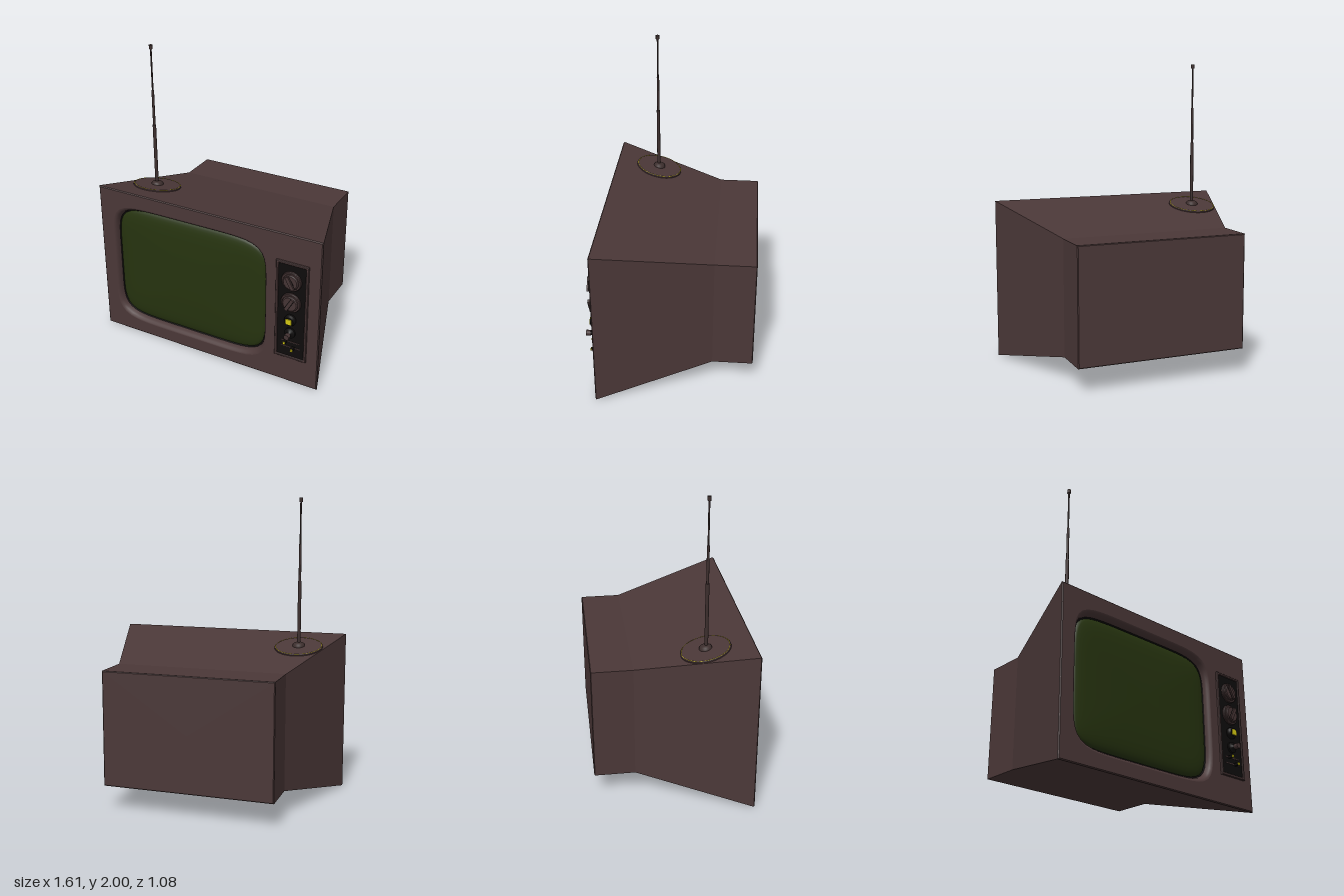
import * as THREE from 'three';

const mat = (name, color) => {
  const m = new THREE.MeshStandardMaterial({ color });
  m.name = name;
  return m;
};

// Closed loops of points, outer faces to the right of travel for anticlockwise loops
function loft(rings, flat = false) {
  const n = rings[0].length, pos = [], idx = [];
  rings.forEach(r => r.forEach(p => pos.push(...p)));
  for (let i = 0; i < rings.length - 1; i++) {
    for (let j = 0; j < n; j++) {
      const a = i * n + j, b = i * n + (j + 1) % n;
      idx.push(a, b, b + n, a, b + n, a + n);
    }
  }
  let g = new THREE.BufferGeometry();
  g.setAttribute('position', new THREE.Float32BufferAttribute(pos, 3));
  g.setIndex(idx);
  if (flat) g = g.toNonIndexed();
  g.computeVertexNormals();
  return g;
}

const CX = -0.135, CY = 0.537, FRONT = 0.467;

// Soft-cornered tube outline with slightly bowed sides
function outline(hw, hh, z, power = 6.5, count = 96) {
  return Array.from({ length: count }, (_, i) => {
    const t = (i / count) * Math.PI * 2, c = Math.cos(t), s = Math.sin(t);
    const r = 1 / Math.pow(Math.abs(c) ** power + Math.abs(s) ** power, 1 / power);
    return [CX + hw * r * c, CY + hh * r * s, z];
  });
}

const rect = (hw, y0, y1, z) => [[-hw, y0, z], [hw, y0, z], [hw, y1, z], [-hw, y1, z]];

function rectShape(x0, y0, x1, y1, Type = THREE.Shape) {
  return new Type([[x0, y0], [x1, y0], [x1, y1], [x0, y1]].map(p => new THREE.Vector2(...p)));
}

export function createModel() {
  const brown = mat('brown casing', 0x4b3838);
  const knobBrown = mat('knob brown', 0x453434);
  const metal = mat('aerial metal', 0x3c2e2d);
  const glass = mat('green glass', 0x26330f);
  const black = mat('black panel', 0x0e0c0c);
  const yellow = mat('yellow', 0xd6ca12);

  const model = new THREE.Group();
  model.name = 'television';
  const add = (name, geo, material, x = 0, y = 0, z = 0, parent = model) => {
    const m = new THREE.Mesh(geo, material);
    m.name = name;
    m.position.set(x, y, z);
    parent.add(m);
    return m;
  };

  // Casing: square back box flaring out to the front
  add('casing', loft([
    rect(0, 0.54, 0.54, -0.54),
    rect(0.56, 0.17, 0.915, -0.54),
    rect(0.565, 0.165, 0.92, -0.535),
    rect(0.565, 0.165, 0.92, -0.275),
    rect(0.805, 0, 1.08, 0.458),
    rect(0.805, 0, 1.08, 0.461),
    rect(0.799, 0.006, 1.074, FRONT),
  ], true), brown);

  // Front face with the screen opening
  const face = rectShape(-0.799, 0.006, 0.799, 1.074);
  face.holes.push(new THREE.Path(outline(0.578, 0.447, 0).map(p => new THREE.Vector2(p[0], p[1]))));
  add('frontFace', new THREE.ShapeGeometry(face), brown, 0, 0, FRONT);

  // Curved surround sinking to the screen
  add('screenSurround', loft([
    [0.578, 0.447, FRONT], [0.570, 0.438, 0.464], [0.563, 0.430, 0.455],
    [0.558, 0.423, 0.442], [0.555, 0.418, 0.425],
  ].map(a => outline(...a))), brown);
  add('screenGasket', loft([outline(0.555, 0.418, 0.425), outline(0.545, 0.406, 0.419)]), black);

  // Domed picture tube
  const dome = [1, 0.985, 0.965, 0.93, 0.88, 0.8, 0.65, 0.45, 0.2, 0.001];
  add('screen', loft(dome.map(s =>
    outline(0.55 * s, 0.411 * s, 0.419 + 0.028 * Math.sqrt(1 - s ** 8) + 0.012 * (1 - s * s)))), glass);

  // Control panel: raised frame around a black plate
  const controls = new THREE.Group();
  controls.name = 'controlPanel';
  model.add(controls);
  const frame = rectShape(0.508, 0.193, 0.726, 0.896);
  frame.holes.push(rectShape(0.524, 0.209, 0.710, 0.880, THREE.Path));
  add('panelFrame', new THREE.ExtrudeGeometry(frame, {
    depth: 0.012, bevelEnabled: true, bevelThickness: 0.003, bevelSize: 0.003, bevelOffset: -0.003, bevelSegments: 1,
  }), brown, 0, 0, FRONT, controls);
  add('panelPlate', new THREE.BoxGeometry(0.19, 0.675, 0.008), black, 0.617, 0.5445, 0.471, controls);

  // Turned parts face forward
  const turned = (name, profile, material, x, y, z, parent = controls, sides = 40) => {
    const g = new THREE.LatheGeometry(profile.map(p => new THREE.Vector2(...p)), sides);
    g.rotateX(Math.PI / 2);
    return add(name, g, material, x, y, z, parent);
  };

  // Two large dials with slanted grips
  [[0.77, 0.5], [0.615, -0.5]].forEach(([y, tilt], i) => {
    const dial = new THREE.Group();
    dial.name = i ? 'lowerDial' : 'upperDial';
    dial.position.set(0.615, y, 0.475);
    controls.add(dial);
    turned('dialRim', [[0.067, 0], [0.067, 0.009], [0.067, 0.009], [0.063, 0.014], [0.063, 0.014], [0.054, 0.014]],
      knobBrown, 0, 0, 0, dial);
    turned('dialCap', [[0.054, 0.012], [0.052, 0.022], [0.052, 0.022], [0.045, 0.027], [0.045, 0.027], [0, 0.027]],
      knobBrown, 0, 0, 0, dial);
    const grip = add('dialGrip', new THREE.BoxGeometry(0.022, 0.092, 0.014), knobBrown, 0, 0, 0.033, dial);
    grip.rotation.z = tilt;
    for (const s of [-1, 1]) {
      const groove = add('dialGroove', new THREE.BoxGeometry(0.003, 0.09, 0.002), black,
        s * 0.0125 * Math.cos(tilt), s * 0.0125 * Math.sin(tilt), 0.0272, dial);
      groove.rotation.z = tilt;
    }
  });

  // Yellow-topped button
  turned('buttonBase', [[0.038, 0], [0.038, 0.015], [0.038, 0.015], [0.03, 0.03], [0.03, 0.03], [0, 0.03]],
    black, 0.615, 0.488, 0.475);
  add('buttonTop', new THREE.BoxGeometry(0.037, 0.037, 0.006), yellow, 0.615, 0.488, 0.507, controls);

  // Protruding switch
  turned('switchStem', [[0.036, 0], [0.036, 0.012], [0.036, 0.012], [0.013, 0.022], [0.013, 0.04]],
    black, 0.615, 0.39, 0.475);
  turned('switchKnob', [[0, 0.034], [0.018, 0.034], [0.018, 0.034], [0.018, 0.064], [0.018, 0.064], [0, 0.064]],
    knobBrown, 0.615, 0.39, 0.475, controls, 20);

  // Sliders with yellow tips
  [[0.32, 0.587], [0.28, 0.64]].forEach(([y, x]) => {
    add('sliderTrack', new THREE.BoxGeometry(0.13, 0.006, 0.004), knobBrown, 0.617, y, 0.476, controls);
    add('sliderStem', new THREE.BoxGeometry(0.016, 0.016, 0.034), black, x, y, 0.49, controls);
    add('sliderTip', new THREE.BoxGeometry(0.017, 0.017, 0.004), yellow, x, y, 0.509, controls);
  });

  // Aerial base lies on the sloping top
  const base = new THREE.Group();
  base.name = 'aerialBase';
  base.position.set(-0.54, 1.017, 0.175);
  base.rotation.x = -Math.atan(0.216);
  model.add(base);
  const lathe = (name, pts, material) =>
    add(name, new THREE.LatheGeometry(pts.map(p => new THREE.Vector2(...p)), 48), material, 0, 0, 0, base);
  lathe('baseDisc', [[0, -0.006], [0.16, -0.006], [0.16, -0.006], [0.16, 0.008], [0.16, 0.008],
    [0.154, 0.012], [0.154, 0.012], [0, 0.012]], brown);
  const ring = add('baseRing', new THREE.TorusGeometry(0.153, 0.0016, 6, 64), yellow, 0, 0.0115, 0, base);
  ring.rotation.x = Math.PI / 2;
  lathe('baseDome', [[0.041, 0.011], [0.039, 0.021], [0.032, 0.029], [0.02, 0.035], [0, 0.037]], metal);

  // Telescopic aerial: radius, bottom, top
  [[0.0115, 1.02, 1.46], [0.0085, 1.46, 1.7], [0.0055, 1.7, 1.98], [0.012, 1.974, 2]].forEach(([r, y0, y1], i) =>
    add(i < 3 ? 'aerialRod' + (i + 1) : 'aerialTip',
      new THREE.CylinderGeometry(r, r, y1 - y0, 16), metal, -0.54, (y0 + y1) / 2, 0.177));

  return model;
}
